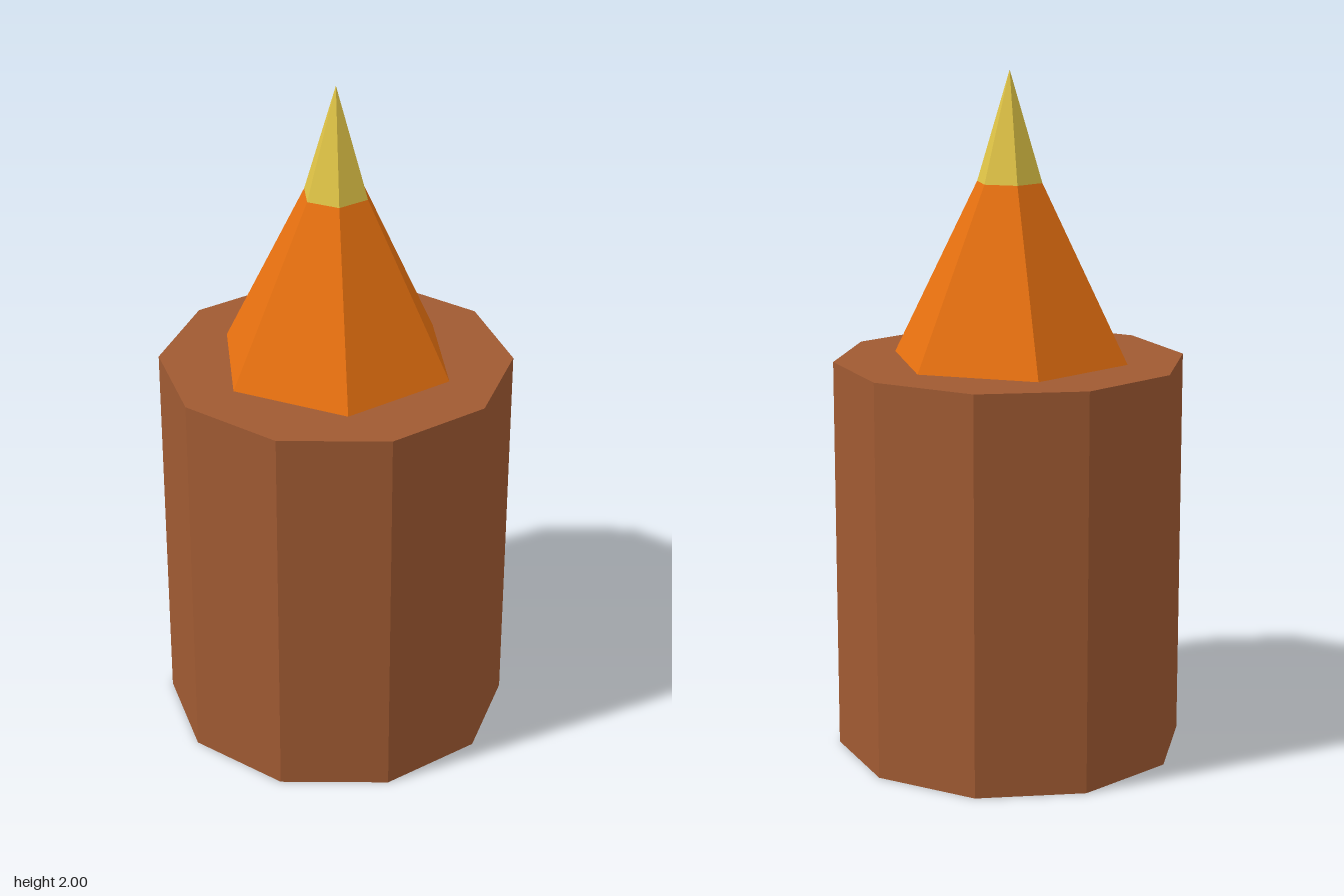
import * as THREE from 'three';

// Faceted candle: ten-sided body, six-sided flame with a pale tip
export function createModel() {
  const group = new THREE.Group();
  const flat = (name, color) => {
    const m = new THREE.MeshStandardMaterial({ color, flatShading: true });
    m.name = name;
    return m;
  };

  // One tapered section standing between two heights
  const section = (name, material, rTop, rBottom, y0, y1, sides, open) => {
    const geometry = new THREE.CylinderGeometry(rTop, rBottom, y1 - y0, sides, 1, open);
    const mesh = new THREE.Mesh(geometry, material);
    mesh.name = name;
    mesh.position.y = (y0 + y1) / 2;
    group.add(mesh);
  };

  section('body', flat('brown', 0xa05a32), 0.515, 0.515, 0, 1.165, 10, false);
  section('flame', flat('orange', 0xea7210), 0.098, 0.355, 1.165, 1.68, 6, true);
  section('flameTip', flat('yellow', 0xe0c446), 0, 0.098, 1.68, 2, 6, true);

  return group;
}
